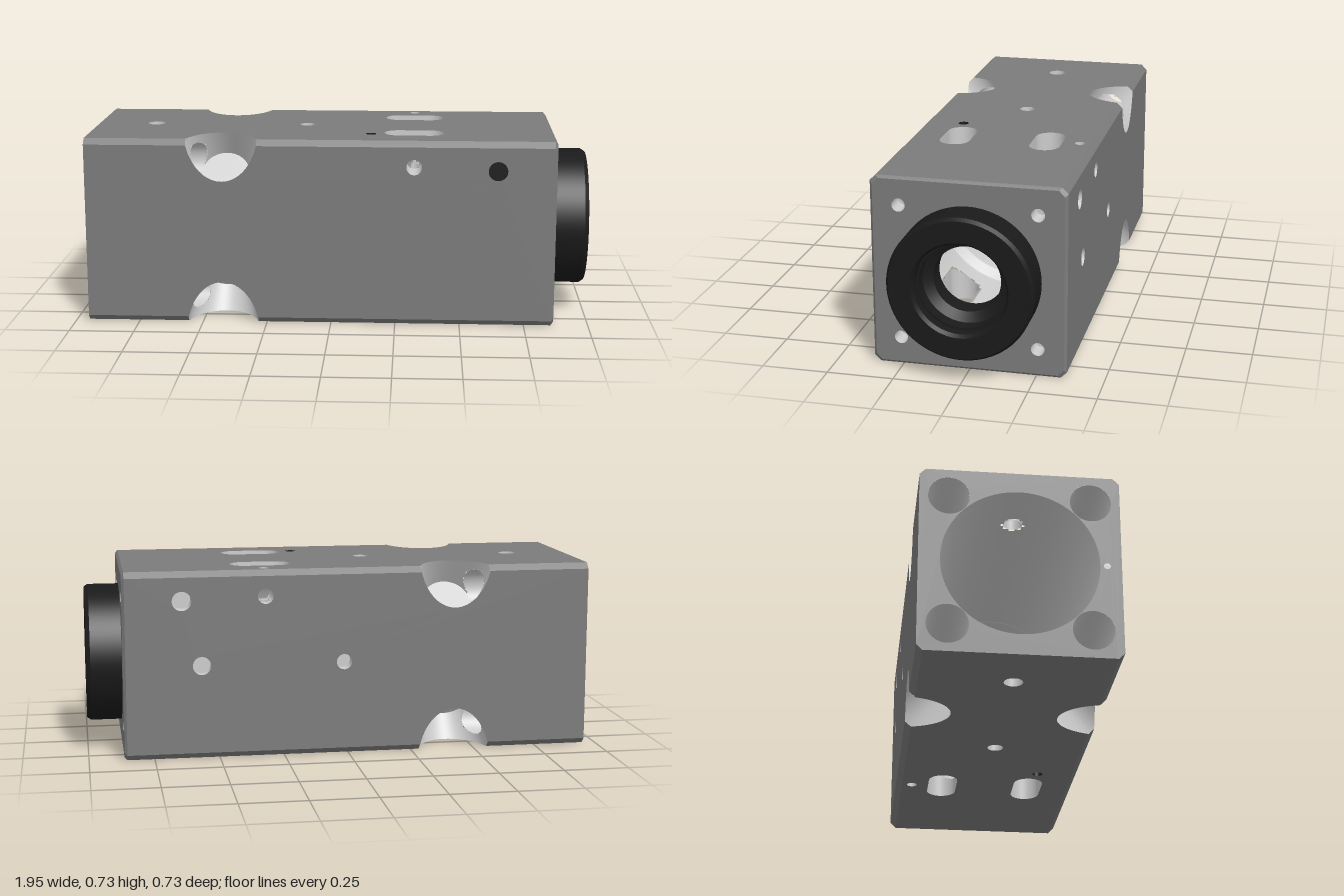
import * as THREE from 'three';

const H = 0.3625, C = 0.0225, X0 = -0.95, X1 = 0.855, X2 = 0.865, NX = -0.42, Q = Math.SQRT1_2;
const TAU = Math.PI * 2;
const paint = new THREE.MeshStandardMaterial({ color: 0x7b7b7b });
const metal = new THREE.MeshStandardMaterial({ color: 0xcccccc, side: THREE.DoubleSide });
const black = new THREE.MeshStandardMaterial({ color: 0x1a1a1a, side: THREE.DoubleSide });
const bevelMat = new THREE.MeshStandardMaterial({ color: 0x7b7b7b, flatShading: true, side: THREE.DoubleSide });

const boreRadius = x => (x < 0.1 ? 0.285 : 0.32);
const notchRadius = t => 0.0287 + 0.217 * t; // tapered corner pocket, t = distance from the long axis

// Holes of each side face: u along x, v across, l = half length of a slot, d = depth of a blind hole
const topHoles = [
  { u: -0.72, v: 0, r: 0.035 }, { u: -0.11, v: 0, r: 0.03, d: 0.05 },
  { u: 0.32, v: 0.175, r: 0.058, l: 0.06 }, { u: 0.32, v: -0.175, r: 0.058, l: 0.06 },
  { u: 0.32, v: 0.3, r: 0.02 }, { u: 0.15, v: -0.2, r: 0.02, d: 0.02, screw: true },
];
const faces = [
  { name: 'front', turn: 0, holes: [{ u: 0.32, v: 0.2625, r: 0.03 }, { u: 0.64, v: 0.25, r: 0.037, d: 0.02, screw: true }] },
  { name: 'top', turn: -Math.PI / 2, holes: topHoles },
  { name: 'back', turn: Math.PI, holes: [{ u: 0.32, v: -0.2625, r: 0.03 }, { u: 0.64, v: -0.25, r: 0.037, d: 0.06 },
    { u: 0.566, v: 0, r: 0.035, d: 0.035 }, { u: 0.017, v: 0, r: 0.03, d: 0.05 }] },
  { name: 'bottom', turn: Math.PI / 2, holes: topHoles.map(h => ({ ...h, v: -h.v })) },
];
const XAXIS = new THREE.Vector3(1, 0, 0);

// True where a point lies within a through hole other than the given one
function isCut(p, except) {
  return faces.some(f => {
    const q = p.clone().applyAxisAngle(XAXIS, -f.turn);
    return q.z > 0 && f.holes.some(h => {
      if (h === except || h.d) return false;
      const du = Math.max(Math.abs(q.x - h.u) - (h.l || 0), 0);
      return Math.hypot(du, q.y - h.v) < h.r + 0.005;
    });
  });
}

// Surface from a function of two 0..1 parameters, leaving out cells that skip() rejects
function grid(fn, nu, nv, skip) {
  const pts = [], index = [];
  for (let j = 0; j <= nv; j++) for (let i = 0; i <= nu; i++) pts.push(fn(i / nu, j / nv));
  for (let j = 0; j < nv; j++) for (let i = 0; i < nu; i++) {
    const a = j * (nu + 1) + i, b = a + 1, c = a + nu + 1, d = c + 1;
    const mid = pts[a].clone().add(pts[d]).multiplyScalar(0.5);
    if (!skip || !skip(mid)) index.push(a, b, d, a, d, c);
  }
  const g = new THREE.BufferGeometry().setFromPoints(pts);
  g.setIndex(index);
  g.computeVertexNormals();
  return g;
}

function add(parent, name, geometry, material) {
  const m = new THREE.Mesh(geometry, material);
  m.name = name;
  parent.add(m);
  return m;
}

// Outline of a round hole or slot, counter-clockwise
function outline(h, k) {
  const a = k * TAU, c = Math.cos(a), l = h.l || 0;
  if (!l) return [h.u + h.r * c, h.v + h.r * Math.sin(a)];
  const straight = 2 * l, arc = Math.PI * h.r, half = straight + arc;
  let s = k * 2 * half, sign = 1;
  if (s >= half) { s -= half; sign = -1; }
  let x = -l + s, y = -h.r;
  if (s > straight) {
    const b = (s - straight) / h.r - Math.PI / 2;
    x = l + h.r * Math.cos(b); y = h.r * Math.sin(b);
  }
  return [h.u + sign * x, h.v + sign * y];
}

function holePath(h) {
  const n = h.l ? 72 : 32;
  return new THREE.Path(Array.from({ length: n }, (_, i) => new THREE.Vector2(...outline(h, i / n))));
}

// Rectangle with the pocket mouths scooped out of its long edges
function faceShape(holes) {
  const w = H - C, edge = [], N = 28;
  for (let i = 0; i <= N; i++) {
    const v = w - (w - 0.2) * Math.sin(i / N * Math.PI / 2);
    const s = (H - v) * Q, t = (H + v) * Q;
    edge.push([Math.sqrt(Math.max(notchRadius(t) ** 2 - s * s, 0)), v]);
  }
  const right = edge.map(([x, v]) => [NX + x, v]), left = edge.map(([x, v]) => [NX - x, v]).reverse();
  const topEdge = [[X1, w], ...right, ...left, [X0, w]];
  const bottomEdge = topEdge.map(([x, v]) => [x, -v]).reverse();
  const s = new THREE.Shape([...bottomEdge, ...topEdge].map(p => new THREE.Vector2(...p)));
  s.holes = holes.map(holePath);
  return s;
}

function octagon(h) {
  const k = h - C;
  return [[h, -k], [h, k], [k, h], [-k, h], [-h, k], [-h, -k], [-k, -h], [k, -h]];
}

function endCap(h, holes) {
  const s = new THREE.Shape(octagon(h).map(p => new THREE.Vector2(...p)));
  s.holes = holes.map(([x, y, r]) => new THREE.Path().absarc(x, y, r, 0, TAU, true));
  return new THREE.ShapeGeometry(s, 40);
}

export function createModel() {
  const model = new THREE.Group();
  model.name = 'housing';
  model.position.y = 0.6025;

  // Four side faces with their holes
  for (const f of faces) {
    const g = new THREE.Group();
    g.name = f.name + 'Side';
    g.rotation.x = f.turn;
    model.add(g);
    add(g, f.name + 'Face', new THREE.ShapeGeometry(faceShape(f.holes)), paint).position.z = H;
    for (const h of f.holes) {
      const wall = grid((a, b) => {
        const [x, y] = outline(h, a);
        const end = h.d ? H - h.d : Math.sqrt(Math.max(boreRadius(h.u) ** 2 - y * y, 0));
        return new THREE.Vector3(x, y, H + (end - H) * b);
      }, h.l ? 72 : 32, 10, p => !h.d && isCut(p.applyAxisAngle(XAXIS, f.turn), h));
      add(g, h.l ? 'slotWall' : 'holeWall', wall, h.screw ? black : metal);
      if (h.d) add(g, h.screw ? 'setScrew' : 'holeFloor', new THREE.CircleGeometry(h.r, 32), h.screw ? black : metal)
        .position.set(h.u, h.v, H - h.d);
    }
  }

  // Four long corners: bevel strips, tapered pocket and end holes
  const tBevel = (2 * H - C) * Q, B = 0.256, mouth = notchRadius(tBevel);
  const at = (x, t, s) => new THREE.Vector3(x, (t + s) * Q, (t - s) * Q);
  for (let k = 0; k < 4; k++) {
    const g = new THREE.Group();
    g.name = 'corner' + (k + 1);
    g.rotation.x = k * Math.PI / 2;
    model.add(g);
    for (const [a, b] of [[X0, NX - mouth], [NX + mouth, X1]]) {
      const strip = add(g, 'cornerBevel', new THREE.PlaneGeometry(b - a, C * Math.SQRT2), paint);
      strip.rotation.x = -Math.PI / 4;
      strip.position.copy(at((a + b) / 2, tBevel, 0));
    }
    const t0 = 0.29;
    add(g, 'pocketWall', grid((a, b) => {
      const c = Math.cos(a * TAU), s = Math.sin(a * TAU), n = Math.abs(s);
      const top = Math.min(tBevel, (H * Math.SQRT2 - 0.0287 * n) / (1 + 0.217 * n));
      const t = t0 + (top - t0) * b, r = notchRadius(t);
      return at(NX + r * c, t, r * s);
    }, 96, 20, p => p.x < NX && Math.hypot(p.y - B, p.z - B) < 0.075), metal);
    const floor = add(g, 'pocketFloor', new THREE.CircleGeometry(notchRadius(t0), 48), metal);
    floor.rotation.x = -Math.PI / 4;
    floor.position.copy(at(NX, t0, 0));

    // Wide hole from the open end into the pocket
    add(g, 'boltHole', grid((a, b) => {
      const y = B + 0.075 * Math.cos(a * TAU), z = B + 0.075 * Math.sin(a * TAU);
      const t = (y + z) * Q, s = (y - z) * Q;
      const end = NX - Math.sqrt(Math.max(notchRadius(t) ** 2 - s * s, 0));
      return new THREE.Vector3(X0 + (end - X0) * b, y, z);
    }, 40, 1), metal);

    // Narrow blind hole at the ring end
    const small = add(g, 'mountHole', new THREE.CylinderGeometry(0.025, 0.025, 0.08, 24, 1, true), metal);
    small.rotation.z = Math.PI / 2;
    small.position.set(X2 - 0.04, B, B);
    const stop = add(g, 'mountHoleFloor', new THREE.CircleGeometry(0.025, 24), metal);
    stop.rotation.y = Math.PI / 2;
    stop.position.set(X2 - 0.08, B, B);
  }

  // End faces
  const corners = r => [[B, B, r], [B, -B, r], [-B, B, r], [-B, -B, r]];
  const open = add(model, 'openEnd', endCap(H, [[0, 0, 0.285], ...corners(0.075), [0.31, 0, 0.012]]), paint);
  open.rotation.y = -Math.PI / 2;
  open.position.x = X0;
  const ringEnd = add(model, 'ringEnd', endCap(H - 0.01, [[0, 0, 0.2], ...corners(0.025)]), paint);
  ringEnd.rotation.y = Math.PI / 2;
  ringEnd.position.x = X2;
  add(model, 'endBevel', grid((a, b) => {
    const [y, z] = octagon(H - 0.01 * b)[Math.round(a * 8) % 8];
    return new THREE.Vector3(X1 + (X2 - X1) * b, y, z);
  }, 8, 1), bevelMat);
  const pin = add(model, 'pinHole', new THREE.CylinderGeometry(0.012, 0.012, 0.06, 16), metal);
  pin.rotation.z = Math.PI / 2;
  pin.position.set(X0 + 0.04, 0, 0.31);

  // Main bore with a wider chamber behind the ring
  add(model, 'bore', grid((a, b) => {
    const x = X0 + 1.75 * b, r = boreRadius(x);
    return new THREE.Vector3(x, r * Math.cos(a * TAU), r * Math.sin(a * TAU));
  }, 160, 140, p => isCut(p)), metal);
  const back = add(model, 'chamberWall', new THREE.RingGeometry(0.125, 0.32, 64), metal);
  back.rotation.y = -Math.PI / 2;
  back.position.x = 0.8;

  // Black ring with a stepped opening; each profile piece keeps its edges sharp
  const profile = [[0.27, 0.86], [0.27, 0.985], [0.26, 1], [0.18, 1], [0.17, 0.985], [0.17, 0.95],
    [0.16, 0.95], [0.16, 0.9], [0.125, 0.88], [0.125, 0.8]];
  for (let i = 1; i < profile.length; i++) {
    const pts = [profile[i], profile[i - 1]].map(p => new THREE.Vector2(...p));
    add(model, 'ring', new THREE.LatheGeometry(pts, 72), black).rotation.z = -Math.PI / 2;
  }
  return model;
}
